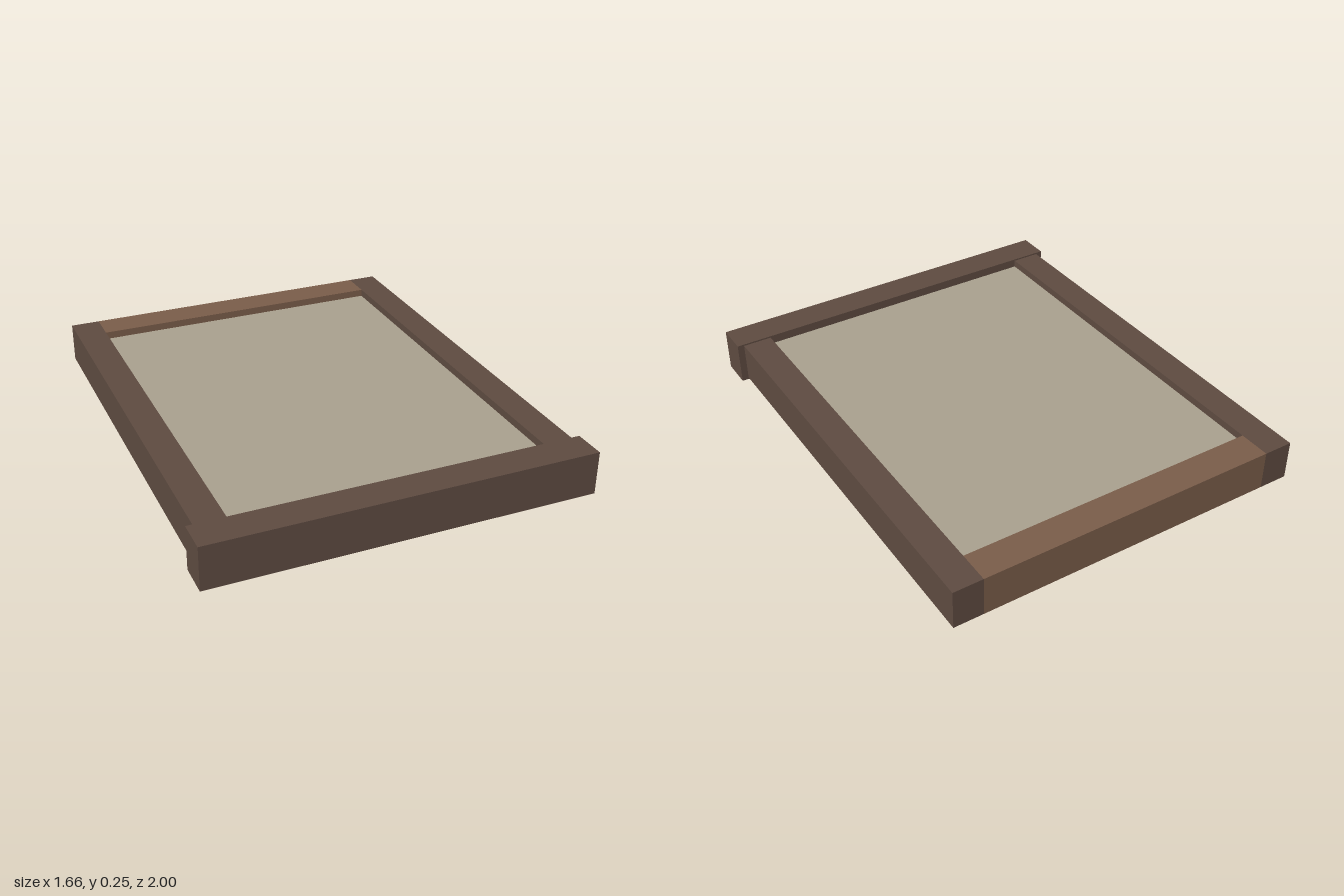
import * as THREE from 'three';

export function createModel() {
  const group = new THREE.Group();
  const mat = (color) => new THREE.MeshStandardMaterial({ color, flatShading: true });
  const darkWood = mat(0x5d4a40);
  const midWood = mat(0x795c49);
  const lightWood = mat(0x8b6f52);
  const canvas = mat(0xa89f8d);

  // Box given by its [min, max] range on each axis
  function box(name, material, [x0, x1], [y0, y1], [z0, z1]) {
    const mesh = new THREE.Mesh(new THREE.BoxGeometry(x1 - x0, y1 - y0, z1 - z0), material);
    mesh.position.set((x0 + x1) / 2, (y0 + y1) / 2, (z0 + z1) / 2);
    mesh.name = name;
    group.add(mesh);
    return mesh;
  }

  // Frame: wide front beam, lighter back beam, recessed panel
  box('frontBeam', darkWood, [-0.83, 0.83], [0.055, 0.245], [0.858, 1]);
  box('backBeam', midWood, [-0.67, 0.67], [0.063, 0.238], [-1, -0.858]);
  box('panel', canvas, [-0.67, 0.67], [0.107, 0.205], [-0.858, 0.858]);

  // Cross bar under the panel, let into the side rails
  box('crossBar', lightWood, [-0.72, 0.72], [0.028, 0.107], [-0.54, -0.45]);

  for (const side of [-1, 1]) {
    const prefix = side > 0 ? 'left' : 'right';
    box(prefix + 'Rail', darkWood, [0.735 * side - 0.065, 0.735 * side + 0.065], [0.063, 0.238], [-1, 0.858]);

    // Diagonal struts spread apart towards the back
    const strut = box(prefix + 'Strut', lightWood, [-0.044, 0.044], [0, 0.082], [-0.632, 0.632]);
    strut.position.x = 0.39 * side;
    strut.position.z = 0.17;
    strut.rotation.y = -0.264 * side;
  }
  return group;
}
